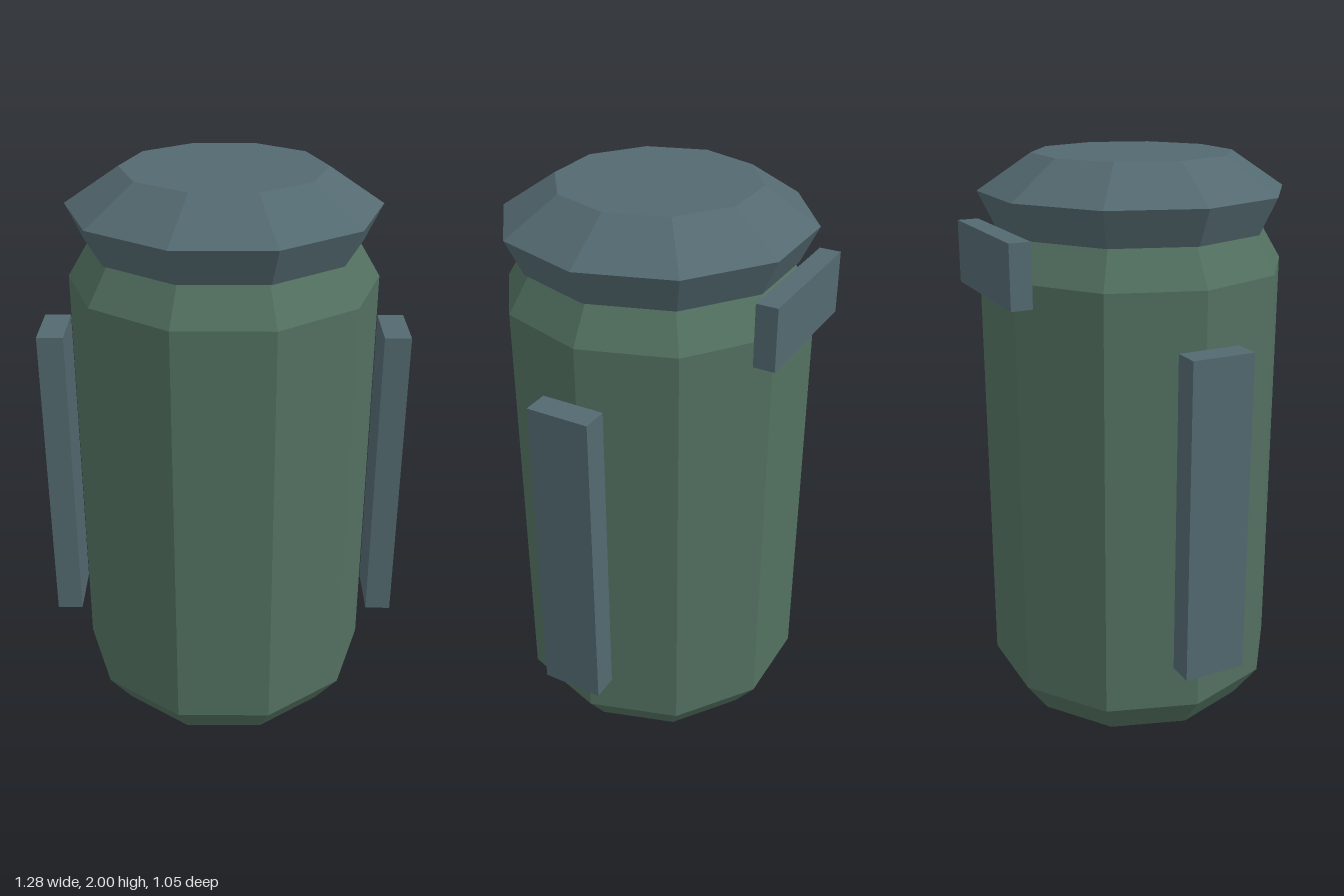
import * as THREE from 'three';

const green = new THREE.MeshStandardMaterial({ name: 'canister green', color: 0x527060, flatShading: true });
const slate = new THREE.MeshStandardMaterial({ name: 'slate metal', color: 0x536970, flatShading: true });

const SIDES = 10;
const AXIS_Z = 0.02; // the canister sits slightly forward of the back clasp

// Ten-sided solid of revolution with corners on the x axis
function turned(name, profile, material) {
  const points = profile.map(([r, y]) => new THREE.Vector2(r, y));
  const mesh = new THREE.Mesh(new THREE.LatheGeometry(points, SIDES, Math.PI / 2), material);
  mesh.name = name;
  mesh.position.z = AXIS_Z;
  return mesh;
}

function block(name, size, position) {
  const mesh = new THREE.Mesh(new THREE.BoxGeometry(...size), slate);
  mesh.name = name;
  mesh.position.set(...position);
  return mesh;
}

export function createModel() {
  const model = new THREE.Group();
  model.name = 'canister';

  // Body with bevelled base and shoulder
  model.add(turned('body', [[0, 0], [0.44, 0], [0.53, 0.125], [0.53, 1.625], [0.455, 1.75], [0, 1.75]], green));

  // Flared lid with a flat top
  model.add(turned('lid', [[0, 1.752], [0.47, 1.752], [0.53, 1.877], [0.345, 2], [0, 2]], slate));

  // Side rails, standing just clear of the body
  for (const [name, side] of [['leftRail', 1], ['rightRail', -1]]) {
    model.add(block(name, [0.092, 1.125, 0.22], [side * 0.594, 0.878, AXIS_Z]));
  }

  // Back clasp below the lid
  model.add(block('backClasp', [0.5, 0.215, 0.074], [0, 1.662, -0.491]));

  return model;
}
